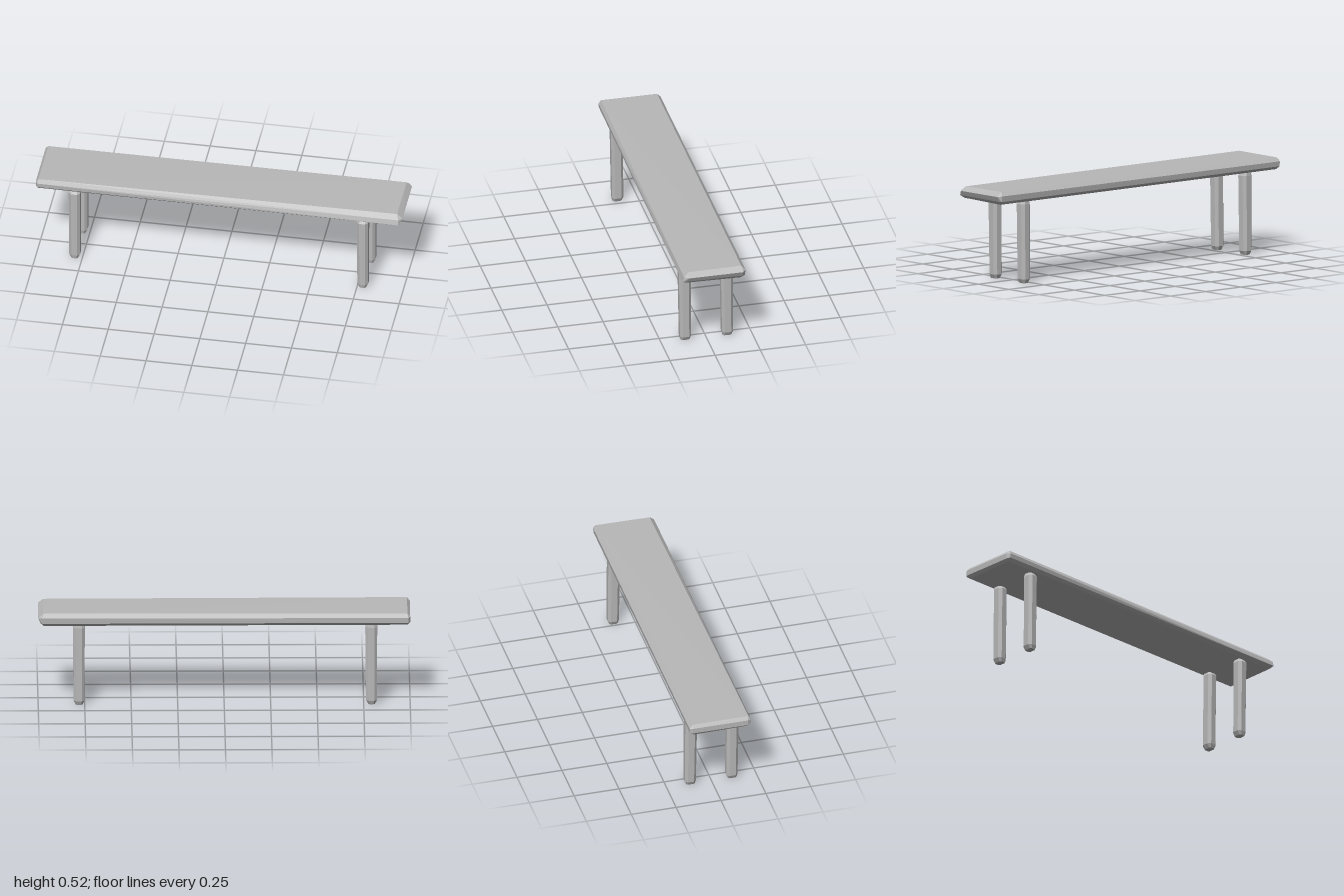
import * as THREE from 'three';
import { ConvexGeometry } from 'three/addons/geometries/ConvexGeometry.js';

const stone = new THREE.MeshStandardMaterial({ color: 0xb8b8b8, flatShading: true });
stone.name = 'grey stone';

// Faceted solid from a few corner points
function facetedBlock(name, corners) {
  const points = corners.map((c) => new THREE.Vector3(...c));
  const mesh = new THREE.Mesh(new ConvexGeometry(points), stone);
  mesh.name = name;
  return mesh;
}

// Plank with roughly cut, slightly uneven edges
function makeSeat() {
  return facetedBlock('seat', [
    // left end: top, waist, bottom
    [-0.985, 0.513, 0.157], [-0.985, 0.512, -0.153],
    [-0.99, 0.492, 0.17], [-0.99, 0.492, -0.172],
    [-0.99, 0.468, 0.168], [-0.99, 0.465, -0.17],
    [-0.985, 0.451, 0.15], [-0.985, 0.447, -0.145],
    [-1, 0.495, 0.15], [-1, 0.495, -0.155],
    [-1, 0.465, 0.15], [-1, 0.465, -0.155],
    // right end, with a ridge above the middle
    [0.97, 0.513, 0.14], [0.97, 0.516, -0.152],
    [0.98, 0.49, 0.166], [0.98, 0.494, -0.173],
    [0.98, 0.463, 0.174], [0.98, 0.463, -0.17],
    [0.97, 0.45, 0.15], [0.97, 0.445, -0.147],
    [1, 0.491, 0.145], [1, 0.491, -0.156],
    [0.987, 0.465, 0.15], [0.987, 0.463, -0.155],
  ]);
}

// Post with chamfered corners and ends, leaning very slightly
function makeLeg(name, x, z) {
  // rings: height, z shift, half width, half depth, corner cut
  const rings = [
    [0, -0.001, 0.018, 0.024, 0.008],
    [0.022, -0.003, 0.029, 0.031, 0.014],
    [0.43, 0.002, 0.031, 0.033, 0.015],
    [0.452, -0.005, 0.02, 0.022, 0.008],
  ];
  const corners = [];
  for (const [y, shift, w, d, cut] of rings)
    for (const sx of [-1, 1])
      for (const sz of [-1, 1])
        corners.push([sx * w, y, sz * (d - cut) + shift], [sx * (w - cut), y, sz * d + shift]);
  const leg = facetedBlock(name, corners);
  leg.position.set(x, 0, z);
  return leg;
}

export function createModel() {
  const bench = new THREE.Group();
  bench.name = 'bench';
  bench.add(makeSeat());
  for (const [side, x] of [['Left', 0.78], ['Right', -0.792]]) {
    bench.add(makeLeg('front' + side + 'Leg', x, 0.117));
    bench.add(makeLeg('back' + side + 'Leg', x, -0.115));
  }
  return bench;
}
